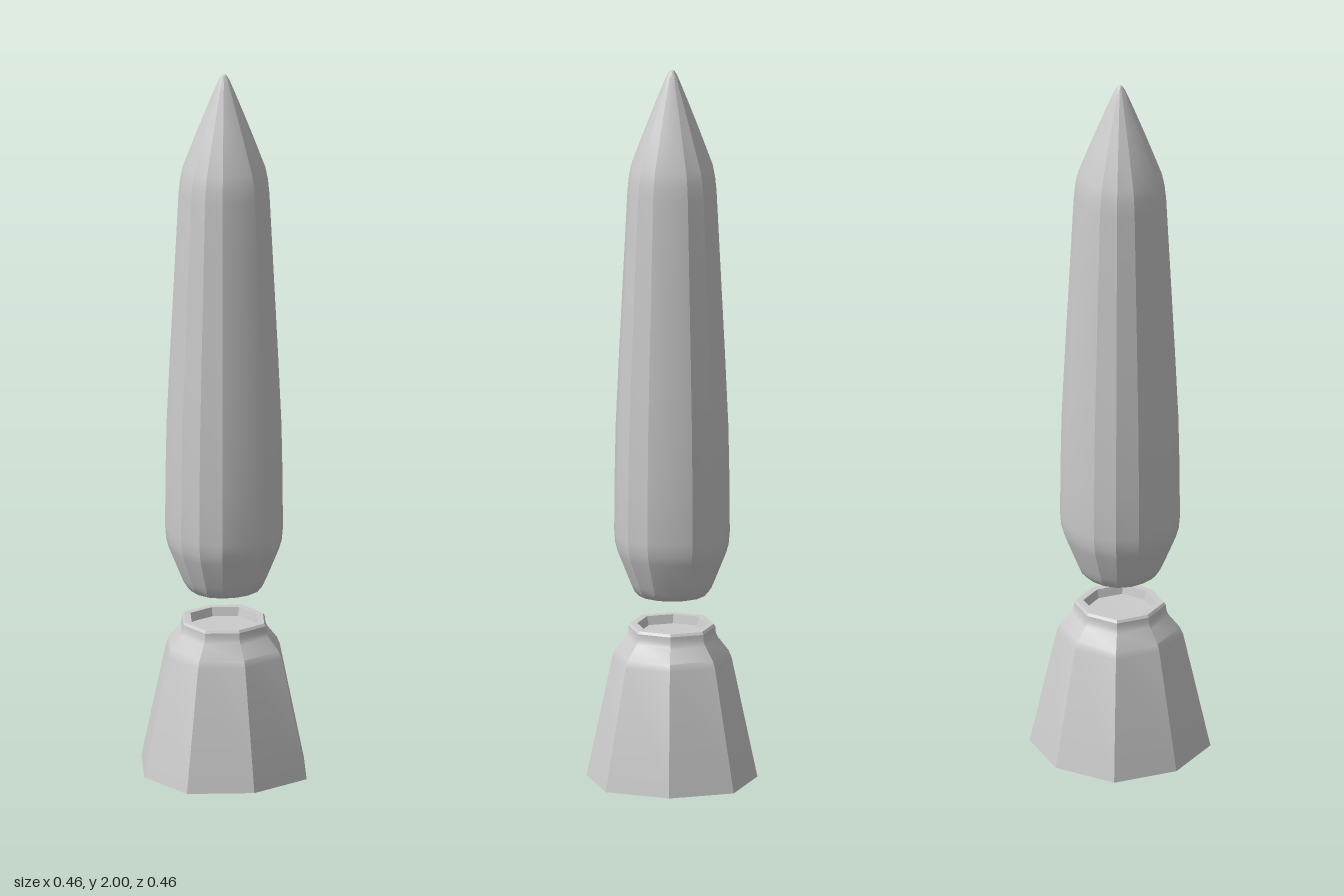
import * as THREE from 'three';
import { toCreasedNormals } from 'three/addons/utils/BufferGeometryUtils.js';

const material = new THREE.MeshStandardMaterial({ color: 0xcccccc });

// Revolve an [r, y] profile (bottom to top); the diagonals bulge slightly.
function turned(name, profile, sides, bulge, creaseDegrees) {
  const geometry = new THREE.LatheGeometry(profile.map(([r, y]) => new THREE.Vector2(r, y)), sides);
  const pos = geometry.attributes.position;
  for (let i = 0; i < pos.count; i++) {
    const angle = Math.atan2(pos.getX(i), pos.getZ(i));
    const scale = 1 + bulge * Math.sin(2 * angle) ** 2;
    pos.setX(i, pos.getX(i) * scale);
    pos.setZ(i, pos.getZ(i) * scale);
  }
  const mesh = new THREE.Mesh(toCreasedNormals(geometry, THREE.MathUtils.degToRad(creaseDegrees)), material);
  mesh.name = name;
  return mesh;
}

export function createModel() {
  const group = new THREE.Group();
  group.name = 'taperedBodyAndStand';

  // Eight-sided stand with a narrow neck and a shallow recess in the top
  group.add(turned('stand', [
    [0, 0], [0.115, 0], [0.232, 0.01],
    [0.162, 0.345], [0.154, 0.365], [0.125, 0.402], [0.119, 0.415], [0.118, 0.432],
    [0.113, 0.439], [0.094, 0.439], [0.088, 0.415], [0, 0.412],
  ], 8, 0.06, 30));

  // Sixteen-sided body floating above the stand, tapering to a pointed nose
  group.add(turned('body', [
    [0, 0.52], [0.075, 0.521], [0.095, 0.527], [0.107, 0.541], [0.116, 0.562],
    [0.147, 0.64], [0.154, 0.665], [0.157, 0.7], [0.156, 0.85], [0.153, 1.0],
    [0.144, 1.2], [0.133, 1.42], [0.121, 1.66], [0.117, 1.7], [0.11, 1.735],
    [0.073, 1.835], [0.042, 1.915], [0.026, 1.955], [0.015, 1.982], [0.007, 1.996], [0, 2.0],
  ], 16, 0.038, 20));

  return group;
}
